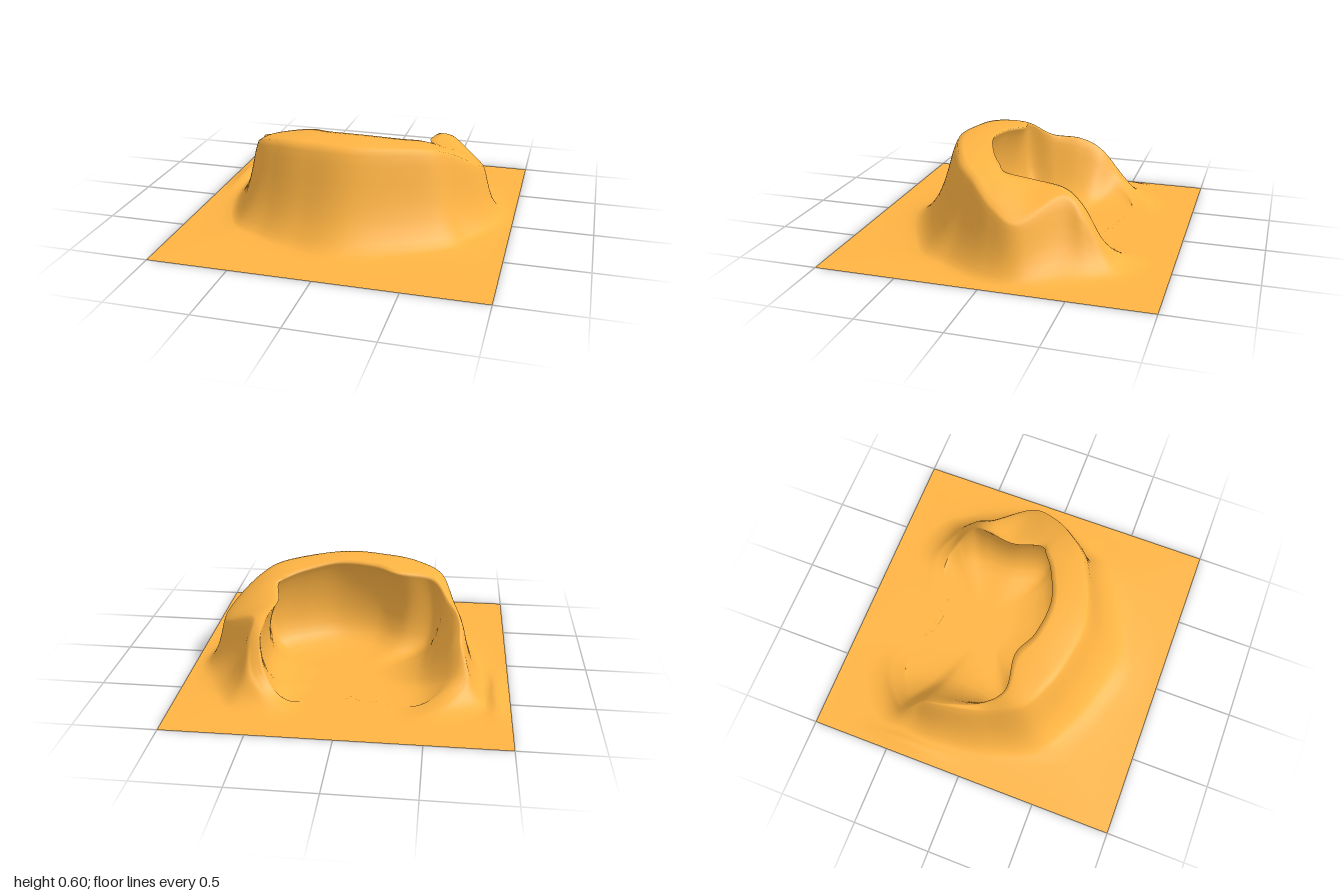
import * as THREE from 'three';

// Stations around the ridge, clockwise seen from above, starting at the open back:
// rim x, z, height, outer crest x, z, height, outer foot x, z
const STATIONS = [
  [0.00, -0.50, 0.00, 0.00, -0.60, 0.00, 0.00, -0.78],
  [0.30, -0.63, 0.02, 0.32, -0.70, 0.02, 0.33, -0.88],
  [0.46, -0.58, 0.16, 0.52, -0.60, 0.15, 0.62, -0.78],
  [0.50, -0.48, 0.36, 0.56, -0.48, 0.34, 0.74, -0.62],
  [0.47, -0.36, 0.45, 0.57, -0.36, 0.43, 0.84, -0.44],
  [0.44, -0.18, 0.47, 0.78, -0.17, 0.33, 0.93, -0.20],
  [0.47, 0.00, 0.51, 0.74, 0.00, 0.40, 0.91, 0.03],
  [0.41, 0.06, 0.54, 0.61, 0.16, 0.51, 0.79, 0.28],
  [0.30, 0.13, 0.565, 0.46, 0.29, 0.56, 0.64, 0.50],
  [0.10, 0.20, 0.595, 0.10, 0.43, 0.585, 0.10, 0.75],
  [-0.12, 0.18, 0.59, -0.20, 0.41, 0.58, -0.25, 0.69],
  [-0.28, 0.11, 0.57, -0.40, 0.35, 0.565, -0.46, 0.60],
  [-0.50, 0.13, 0.53, -0.56, 0.25, 0.52, -0.67, 0.47],
  [-0.61, 0.00, 0.43, -0.64, 0.05, 0.42, -0.81, 0.16],
  [-0.67, -0.18, 0.40, -0.69, -0.18, 0.39, -0.86, -0.18],
  [-0.68, -0.33, 0.32, -0.70, -0.34, 0.31, -0.86, -0.40],
  [-0.66, -0.47, 0.13, -0.71, -0.50, 0.11, -0.83, -0.64],
  [-0.42, -0.60, 0.01, -0.44, -0.70, 0.01, -0.47, -0.88],
];
// How far the inner wall leans out under the rim (negative: slopes inward)
const OVERHANG = [
  0, -0.06, -0.13, -0.07, 0, 0.04, 0.06, 0.08, 0.08,
  0.08, 0.08, 0.07, 0, -0.13, -0.2, -0.22, -0.2, -0.05,
];
const CENTRE = [0, -0.2];
const SEGMENTS = 252;

// Inner wall: fraction of height, fixed offset, share of the overhang
const INNER = [
  [0, -0.28, 0.9], [0.02, -0.19, 1], [0.06, -0.11, 1.05], [0.13, -0.045, 1],
  [0.24, 0, 0.93], [0.4, 0.025, 0.82], [0.58, 0.035, 0.65], [0.75, 0.03, 0.46],
  [0.88, 0.018, 0.28], [0.96, 0.007, 0.12], [1, 0, 0],
];
// Outer slope: fraction from crest to foot, fraction of height
const OUTER = [
  [0, 1], [0.06, 0.94], [0.13, 0.84], [0.22, 0.67], [0.33, 0.49], [0.46, 0.33],
  [0.6, 0.21], [0.74, 0.12], [0.87, 0.065], [1, 0.035],
];

// Smooth cyclic interpolation of a whole station
function stationAt(t) {
  const n = STATIONS.length;
  const i = Math.floor(t), f = t - i;
  const [a, b, c, d] = [-1, 0, 1, 2].map((k) => {
    const s = (i + k + n) % n;
    return [...STATIONS[s], OVERHANG[s]];
  });
  return b.map((v, k) => v + 0.5 * f * (c[k] - a[k]
    + f * (2 * a[k] - 5 * v + 4 * c[k] - d[k] + f * (3 * (v - c[k]) + d[k] - a[k]))));
}

// Where the ray from the centre through (x, z) meets the square border
function borderPoint(x, z) {
  const dx = x - CENTRE[0], dz = z - CENTRE[1];
  const sx = (Math.sign(dx) - CENTRE[0]) / (dx || 1e-9);
  const sz = (Math.sign(dz) - CENTRE[1]) / (dz || 1e-9);
  const s = Math.min(sx > 0 ? sx : 1e9, sz > 0 ? sz : 1e9);
  const p = [CENTRE[0] + dx * s, CENTRE[1] + dz * s];
  return p.every((v) => Math.abs(v) > 0.95) ? p.map(Math.sign) : p;
}

// Low swell in the ground beside the right wing
const swell = (x, z) => 0.03 * Math.exp(-(((x + 0.92) / 0.045) ** 2) - ((z + 0.4) / 0.25) ** 2);

// One section from the centre of the floor, over the ridge, out to the border
function section(t) {
  const [rx, rz, rimRaw, cx, cz, crestRaw, fx, fz, over] = stationAt(t);
  const rimH = Math.max(0, rimRaw), crestH = Math.max(0, crestRaw);
  const len = Math.hypot(rx - CENTRE[0], rz - CENTRE[1]);
  const ux = (rx - CENTRE[0]) / len, uz = (rz - CENTRE[1]) / len;
  const wall = INNER.map(([y, fixed, share]) => {
    const o = Math.max(fixed + share * over, -0.85 * len);
    return [rx + ux * o, y * rimH, rz + uz * o];
  });
  const floor = [0, 0.25, 0.5, 0.75].map((k) => [
    THREE.MathUtils.lerp(CENTRE[0], wall[0][0], k), 0,
    THREE.MathUtils.lerp(CENTRE[1], wall[0][2], k)]);
  const top = [0.15, 0.3, 0.5, 0.7, 0.85].map((k) => [
    rx + (cx - rx) * k,
    rimH + (crestH - rimH) * k + k * (1 - k) * (0.04 * rimH + 0.7 * (rimH - crestH)),
    rz + (cz - rz) * k]);
  const slope = OUTER.map(([k, y]) => [cx + (fx - cx) * k, crestH * y, cz + (fz - cz) * k]);
  const [bx, bz] = borderPoint(fx, fz);
  const ground = [0.2, 0.4, 0.6, 0.8, 1].map((k) => {
    const x = fx + (bx - fx) * k, z = fz + (bz - fz) * k;
    return [x, 0.035 * crestH * (1 - k) ** 2 + swell(x, z), z];
  });
  return [...floor, ...wall, ...top, ...slope, ...ground];
}

export function createModel() {
  const positions = [], indices = [];
  let rings = 0;
  for (let j = 0; j < SEGMENTS; j++) {
    const points = section((j / SEGMENTS) * STATIONS.length);
    rings = points.length;
    positions.push(...points.flat());
  }
  // Join neighbouring sections into one closed sheet
  for (let j = 0; j < SEGMENTS; j++) {
    for (let i = 0; i < rings - 1; i++) {
      const a = j * rings + i, b = ((j + 1) % SEGMENTS) * rings + i;
      indices.push(a, b, a + 1, b, b + 1, a + 1);
    }
  }
  const geometry = new THREE.BufferGeometry();
  geometry.setAttribute('position', new THREE.Float32BufferAttribute(positions, 3));
  geometry.setIndex(indices);
  geometry.computeVertexNormals();

  // The floor's centre is a fan of shared points: keep it facing up
  const normals = geometry.attributes.normal;
  for (let j = 0; j < SEGMENTS; j++) normals.setXYZ(j * rings, 0, 1, 0);

  const terrain = new THREE.Mesh(geometry, new THREE.MeshStandardMaterial({
    color: 0xffb443, side: THREE.DoubleSide,
  }));
  terrain.name = 'crescentRidgeTerrain';
  const group = new THREE.Group();
  group.name = 'terrain';
  group.add(terrain);
  return group;
}
